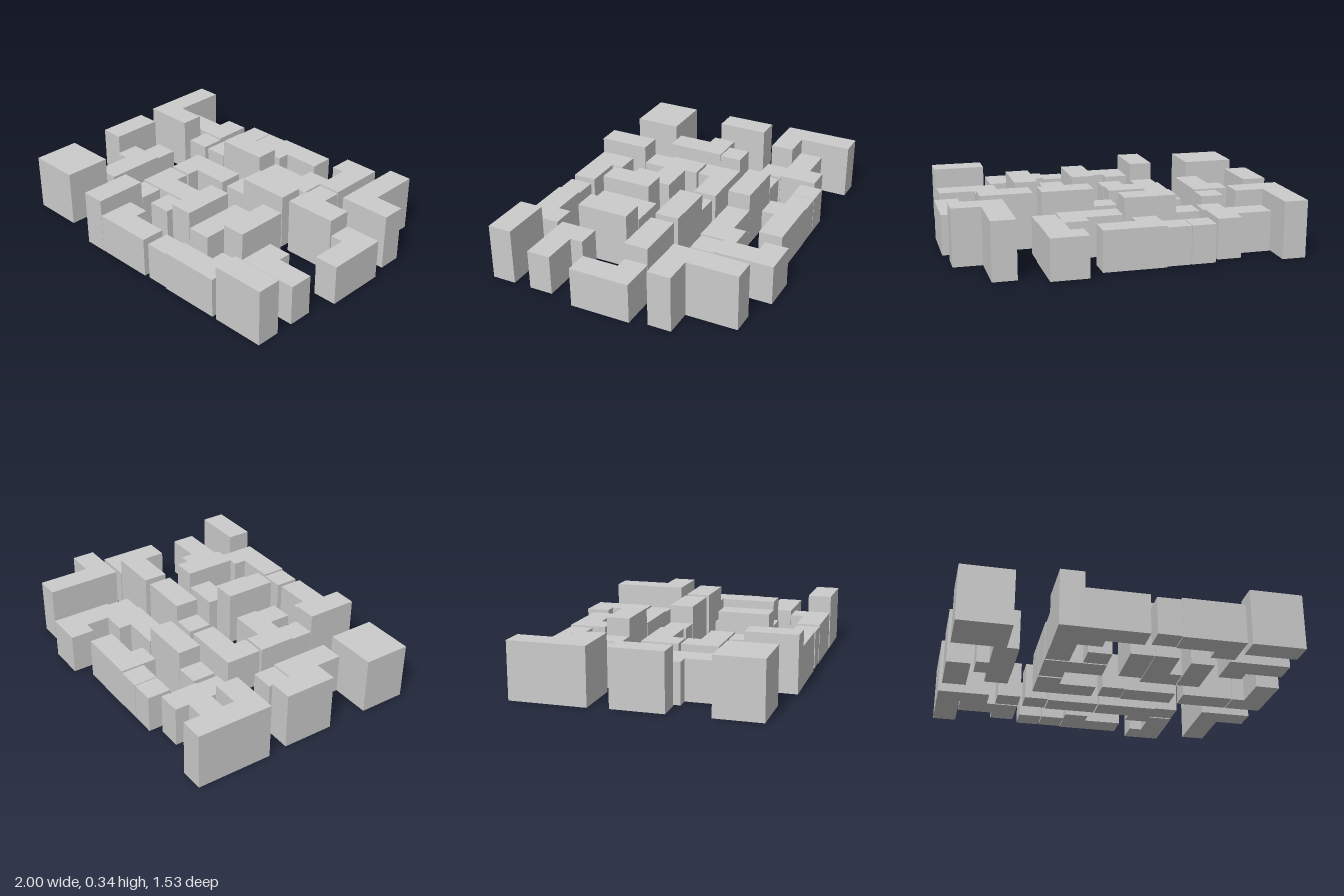
import * as THREE from 'three';

const ARM = 0.143; // width of every block arm

export function createModel() {
  const group = new THREE.Group();
  const material = new THREE.MeshStandardMaterial({ color: 0xcccccc, flatShading: true });

  function add(name, geometry) {
    const mesh = new THREE.Mesh(geometry, material);
    mesh.name = name;
    group.add(mesh);
    return mesh;
  }

  // Upright box over a ground rectangle
  function box(name, x0, z0, x1, z1, y0, y1) {
    add(name, new THREE.BoxGeometry(x1 - x0, y1 - y0, z1 - z0))
      .position.set((x0 + x1) / 2, (y0 + y1) / 2, (z0 + z1) / 2);
  }

  // L-shaped prism: a ground rectangle with the corner (sx, sz) cut away
  function corner(x0, z0, x1, z1, sx, sz) {
    const [xKeep, xCut] = sx > 0 ? [x0, x1] : [x1, x0];
    const [zKeep, zCut] = sz > 0 ? [z0, z1] : [z1, z0];
    const xi = xKeep + sx * ARM, zi = zKeep + sz * ARM;
    const outline = [[xKeep, zKeep], [xCut, zKeep], [xCut, zi], [xi, zi], [xi, zCut], [xKeep, zCut]];
    const shape = new THREE.Shape(outline.map(([x, z]) => new THREE.Vector2(x, -z)));
    const geometry = new THREE.ExtrudeGeometry(shape, { depth: 0.24, bevelEnabled: false });
    add('cornerBuilding', geometry.rotateX(-Math.PI / 2));
  }

  // Tall slab buildings: x0, z0, x1, z1
  [
    [-1, -0.715, -0.86, -0.4], [-1, -0.4, -0.69, -0.26],
    [-0.325, -0.4, -0.015, -0.26],
    [0.66, -0.695, 0.8, -0.385], [0.66, -0.385, 0.97, -0.245],
    [-0.985, -0.14, -0.845, 0.17],
    [-0.98, 0.42, -0.67, 0.565], [-0.98, 0.565, -0.67, 0.7],
    [0.1, -0.145, 0.413, 0], [0.465, -0.145, 0.775, 0],
    [0.015, 0.185, 0.155, 0.495], [0.383, 0.13, 0.523, 0.445],
    [-0.44, 0.455, -0.3, 0.763], [0.64, 0.62, 0.953, 0.763],
  ].forEach(r => box('tallBuilding', ...r, 0, 0.337));

  // Small square buildings: centre x, z
  [
    [-0.568, -0.33], [-0.395, -0.62], [-0.25, -0.62], [-0.4, -0.33],
    [0.427, -0.333], [-0.672, -0.008], [0.03, -0.073],
    [-0.37, 0.383], [-0.15, 0.383], [0.172, 0.69],
  ].forEach(([x, z]) => box('squareBuilding', x - 0.07, z - 0.07, x + 0.07, z + 0.07, 0.005, 0.23));

  // Corner buildings: x0, z0, x1, z1, then the signs of the cut corner
  [
    [-0.855, -0.627, -0.5, -0.4, -1, -1], [-0.18, -0.69, 0.188, -0.47, 1, 1],
    [-0.007, -0.48, 0.357, -0.26, -1, -1], [0.278, -0.765, 0.498, -0.405, -1, 1],
    [-0.818, 0.06, -0.6, 0.42, -1, 1], [-0.443, -0.147, -0.08, 0.075, 1, 1],
    [0.78, -0.147, 1, 0.215, -1, 1], [-0.443, 0.09, -0.08, 0.312, 1, -1],
    [-0.3, 0.545, 0.065, 0.762, 1, -1], [0.243, 0.54, 0.61, 0.762, -1, -1],
    [0.158, 0.13, 0.377, 0.495, 1, 1], [0.592, 0.295, 0.953, 0.515, 1, -1],
  ].forEach(r => corner(...r));

  return group;
}
